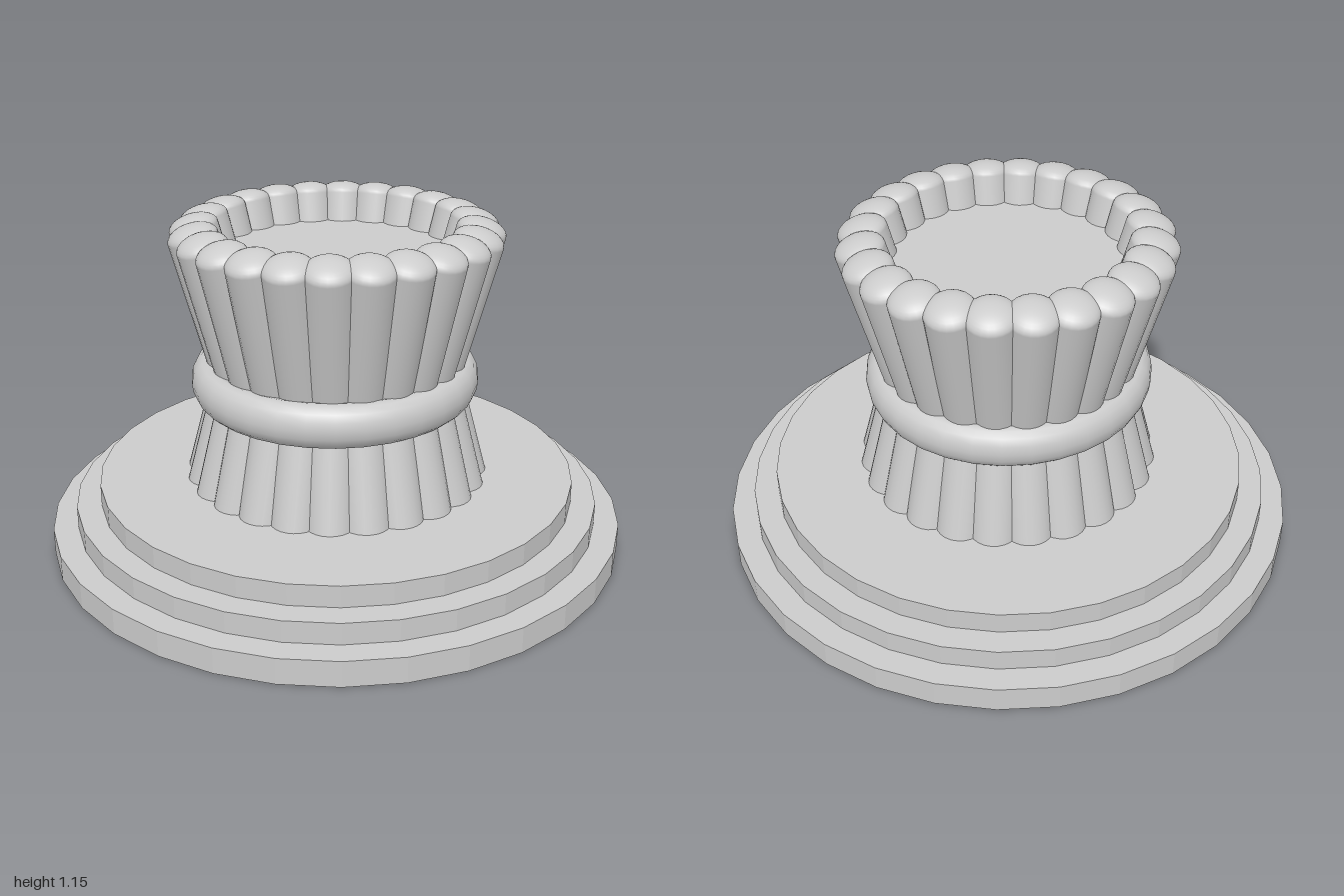
import * as THREE from 'three';

const material = new THREE.MeshStandardMaterial({ color: 0xcccccc });
const flatMaterial = new THREE.MeshStandardMaterial({ color: 0xcccccc, flatShading: true });

const COUNT = 24;       // flutes around the column
const RADIUS = 0.085;   // radius of one flute
const LEAN = Math.PI / 12;
const WAIST = { r: 0.342, y: 0.6 };

function add(parent, name, geometry, mat = material) {
  const mesh = new THREE.Mesh(geometry, mat);
  mesh.name = name;
  parent.add(mesh);
  return mesh;
}

// A ring of leaning rods starting at the waist; dir is 1 for upward, -1 for downward
function fluteRing(name, length, dir, capped) {
  const ring = new THREE.Group();
  ring.name = name;
  const rod = new THREE.CylinderGeometry(RADIUS, RADIUS, length, 24, 1, capped)
    .translate(0, dir * length / 2, 0);
  const cap = new THREE.SphereGeometry(RADIUS, 24, 8, 0, Math.PI * 2, 0, Math.PI / 2)
    .scale(1, 0.52, 1).translate(0, length, 0);
  for (const g of [rod, cap]) g.rotateZ(-dir * LEAN).translate(WAIST.r, WAIST.y, 0);
  for (let i = 0; i < COUNT; i++) {
    const flute = new THREE.Group();
    flute.name = 'flute';
    flute.rotation.y = i / COUNT * Math.PI * 2;
    add(flute, 'rod', rod);
    if (capped) add(flute, 'beadCap', cap);
    ring.add(flute);
  }
  return ring;
}

export function createModel() {
  const model = new THREE.Group();
  model.name = 'flutedPedestal';

  // Stepped round base
  const steps = [[1, 0, 0.09], [0.915, 0.09, 0.165], [0.83, 0.165, 0.24]];
  for (const [r, y0, y1] of steps) {
    add(model, 'baseStep', new THREE.CylinderGeometry(r, r, y1 - y0, 32), flatMaterial)
      .position.y = (y0 + y1) / 2;
  }

  // Fluted column flaring up and down from the waist
  const column = new THREE.Group();
  column.name = 'column';
  column.position.set(0.005, 0, 0.003);
  column.add(fluteRing('upperFlutes', 0.525, 1, true));
  column.add(fluteRing('lowerFlutes', 0.425, -1, false));
  model.add(column);

  // Recessed floor inside the rim
  add(column, 'recessedFloor', new THREE.CylinderGeometry(0.43, 0.34, 0.43, 48))
    .position.y = 0.815;

  // Rounded band around the waist
  const profile = [];
  for (let i = 0; i <= 16; i++) {
    const a = -Math.PI / 2 + i / 16 * Math.PI * 2;
    profile.push(new THREE.Vector2(0.435 + 0.055 * Math.cos(a), 0.075 * Math.sin(a)));
  }
  const band = add(model, 'waistBand', new THREE.LatheGeometry(profile, 32));
  band.position.set(0.005, 0.595, 0.012);
  band.scale.z = 1.025;

  return model;
}
